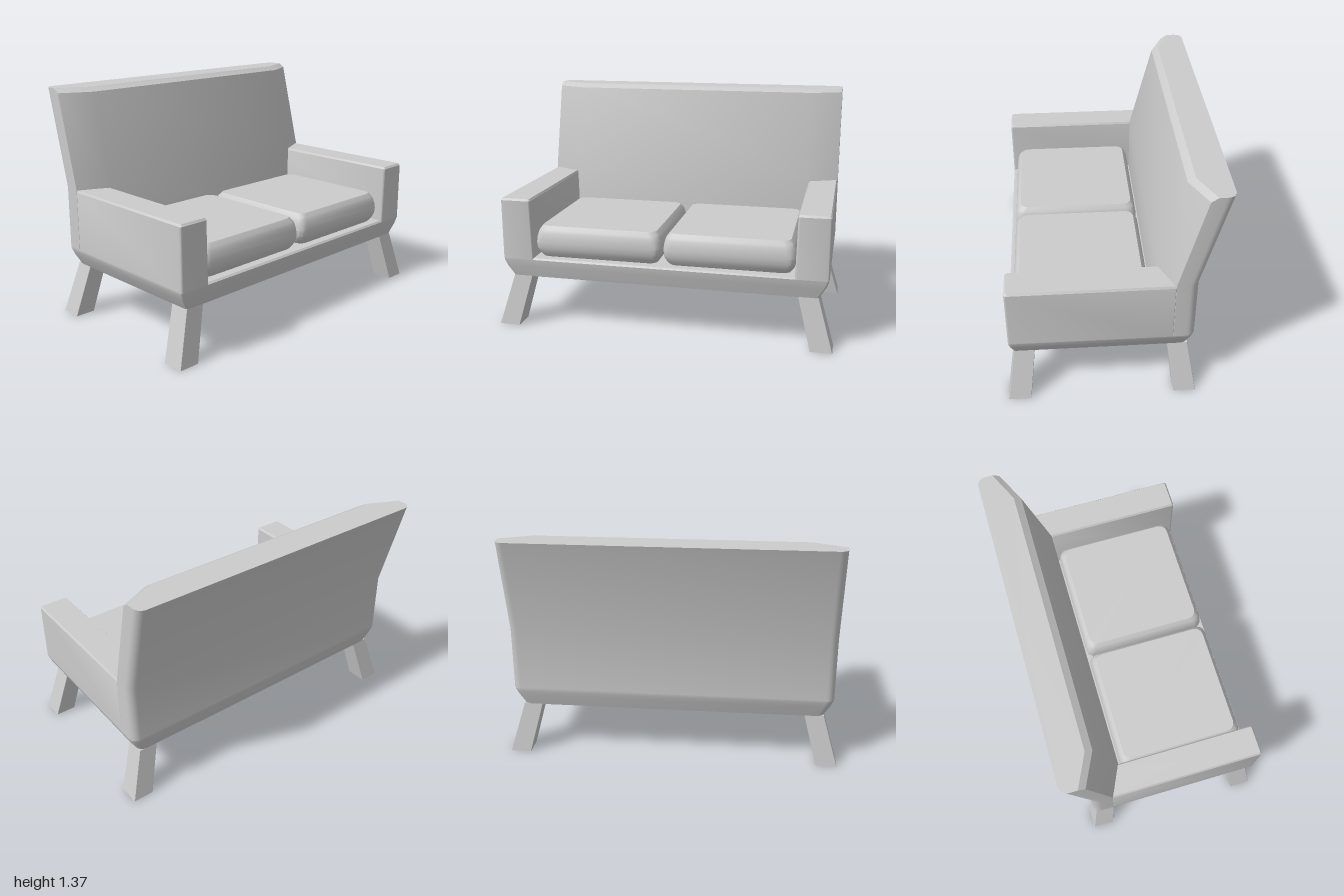
import * as THREE from 'three';
import { toCreasedNormals } from 'three/addons/utils/BufferGeometryUtils.js';

const material = new THREE.MeshStandardMaterial({ color: 0xcccccc });

// Points along a rounded corner, anticlockwise seen from above
function corner(cx, cz, r, start, n) {
  return Array.from({ length: n + 1 }, (_, i) => {
    const a = start + (i / n) * Math.PI / 2;
    return [cx + r * Math.cos(a), cz - r * Math.sin(a)];
  });
}

// Rounded rectangle at one height, with separate front and back corner radii
function rect(y, x0, x1, z0, z1, front, back = front, n = 4) {
  const q = Math.PI / 2;
  return [
    ...corner(x1 - front, z1 - front, front, -q, n),
    ...corner(x1 - back, z0 + back, back, 0, n),
    ...corner(x0 + back, z0 + back, back, q, n),
    ...corner(x0 + front, z1 - front, front, 2 * q, n),
  ].map(([x, z]) => [x, y, z]);
}

// Skin stacked rings from bottom to top and cap both ends
function loft(name, rings, crease = 0.5) {
  const n = rings[0].length;
  const positions = rings.flat(2);
  const index = [];
  for (let i = 0; i < rings.length - 1; i++) {
    for (let j = 0; j < n; j++) {
      const k = (j + 1) % n;
      const a = i * n + j, b = i * n + k;
      index.push(a, b, a + n, b, b + n, a + n);
    }
  }
  const cap = (ring, first, up) => {
    const centre = positions.length / 3;
    for (let c = 0; c < 3; c++) positions.push(ring.reduce((s, p) => s + p[c], 0) / n);
    for (let j = 0; j < n; j++) {
      const a = first + j, b = first + (j + 1) % n;
      index.push(centre, up ? a : b, up ? b : a);
    }
  };
  cap(rings[0], 0, false);
  cap(rings[rings.length - 1], (rings.length - 1) * n, true);
  const geometry = new THREE.BufferGeometry();
  geometry.setAttribute('position', new THREE.Float32BufferAttribute(positions, 3));
  geometry.setIndex(index);
  const mesh = new THREE.Mesh(toCreasedNormals(geometry, crease), material);
  mesh.name = name;
  return mesh;
}

// Backrest section: angled wings in front, rounded corners behind
function backRing(y, zMiddle, zWing, zBack) {
  const r = 0.05, q = Math.PI / 2;
  return [
    [0.78, zMiddle], [0.965, zWing],
    ...corner(0.965 - r, zBack + r, r, 0, 6),
    ...corner(r - 0.965, zBack + r, r, q, 6),
    [-0.965, zWing], [-0.78, zMiddle],
  ].map(([x, z]) => [x, y, z]);
}

export function createModel() {
  const group = new THREE.Group();
  group.name = 'sofa';

  // Seat base, tapering in towards the legs
  group.add(loft('seatBase', [
    rect(0.305, -0.91, 0.91, -0.43, 0.565, 0.012, 0.04),
    rect(0.37, -0.948, 0.948, -0.45, 0.582, 0.012, 0.05),
    rect(0.4, -0.96, 0.96, -0.457, 0.588, 0.012, 0.05),
    rect(0.416, -0.965, 0.965, -0.46, 0.59, 0.012, 0.05),
    rect(0.426, -0.965, 0.965, -0.46, 0.58, 0.012, 0.05),
  ]));

  // Backrest, upright to arm height and then leaning back
  group.add(loft('backrest', [
    backRing(0.416, -0.25, -0.335, -0.46),
    backRing(0.79, -0.25, -0.335, -0.46),
    backRing(1.34, -0.387, -0.475, -0.603),
    backRing(1.365, -0.428, -0.515, -0.61),
  ]));

  for (const side of [1, -1]) {
    const label = side > 0 ? 'left' : 'right';
    // Rectangle between two distances from the middle, on this side
    const on = (y, a, b, ...rest) =>
      rect(y, Math.min(a * side, b * side), Math.max(a * side, b * side), ...rest);

    // Armrest
    group.add(loft(label + 'Armrest', [
      on(0.416, 0.775, 0.965, -0.335, 0.59, 0.012, 0.004),
      on(0.775, 0.782, 0.965, -0.335, 0.59, 0.012, 0.004),
      on(0.787, 0.79, 0.957, -0.345, 0.58, 0.01, 0.004),
    ]));

    // Seat cushion with bulging sides and a bevelled top
    const cushion = [
      [0.426, 0.03], [0.45, 0.014], [0.48, 0.003], [0.515, 0],
      [0.55, 0.004], [0.575, 0.01], [0.592, 0.017], [0.615, 0.035],
    ];
    group.add(loft(label + 'Cushion', cushion.map(([y, d]) =>
      on(y, 0.005 + d, 0.777 - d, -0.227 + d, 0.557 - d, 0.05, 0.05, 3)), 0.55));

    // Splayed legs
    for (const [name, z0, z1, f0, f1] of [
      ['FrontLeg', 0.445, 0.565, 0.48, 0.61],
      ['BackLeg', -0.43, -0.315, -0.482, -0.352],
    ]) {
      group.add(loft(label + name, [
        on(0, 0.875, 1, f0, f1, 0.002, 0.002, 1),
        on(0.308, 0.795, 0.91, z0, z1, 0.002, 0.002, 1),
      ]));
    }
  }
  return group;
}
